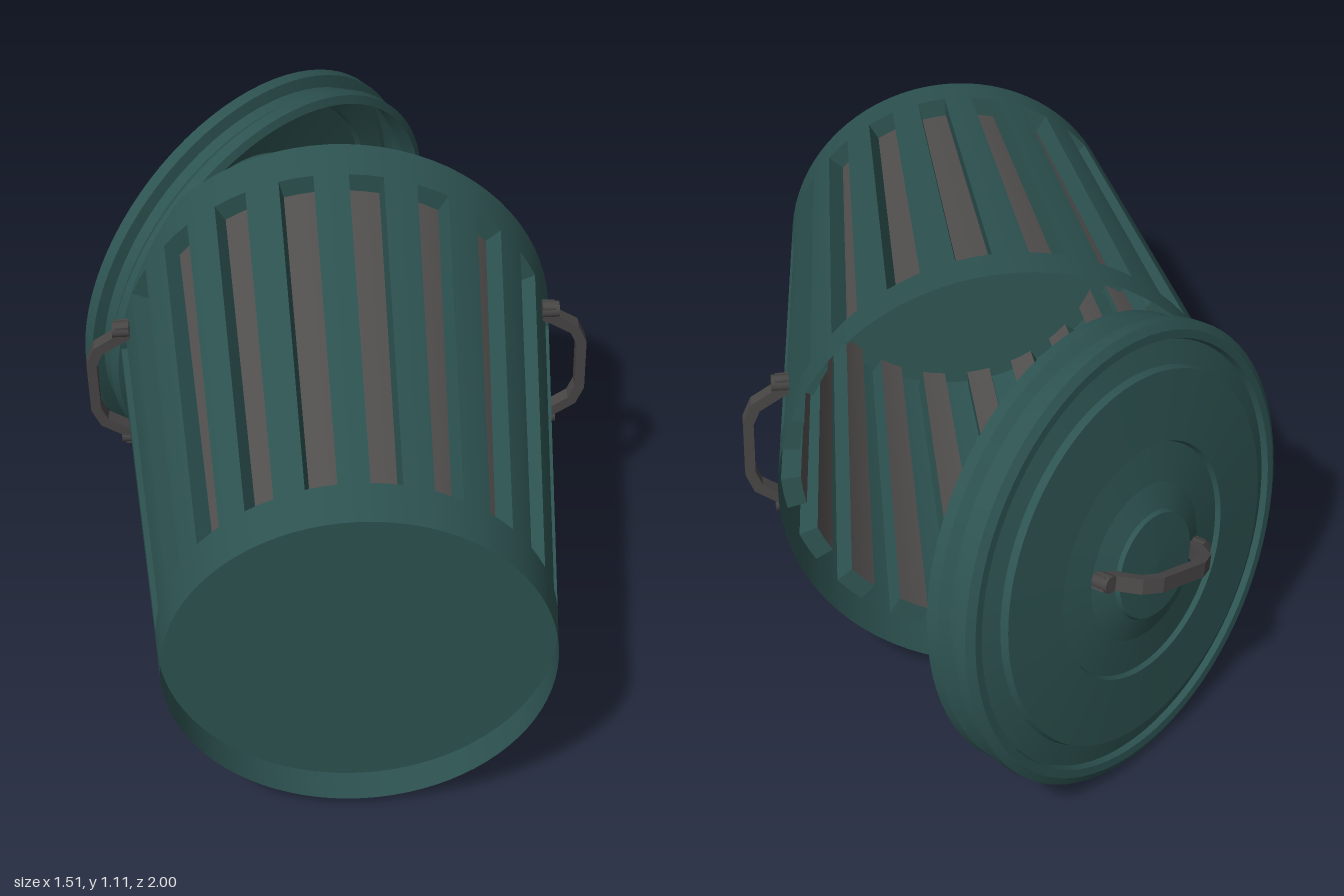
import * as THREE from 'three';
import { mergeGeometries } from 'three/addons/utils/BufferGeometryUtils.js';

const V = (x, y, z) => new THREE.Vector3(x, y, z);
const paint = (color) => new THREE.MeshStandardMaterial({ color, side: THREE.DoubleSide });
const green = paint(0x2d5351);
const panelGrey = paint(0x52504f);
const handleGrey = paint(0x484545);

// Can dimensions, measured along its own axis from base to mouth
const H = 1.224, R0 = 0.443, R1 = 0.556;
const SLOT_LOW = 0.11, SLOT_HIGH = 1.112, DEPTH = 0.048;
const SLOTS = 20, STEP = (Math.PI * 2) / SLOTS, SLOT_ANGLE = STEP * 0.5;
const radiusAt = (y) => R0 + (R1 - R0) * (y / H);

function add(parent, name, geometry, material) {
  const mesh = new THREE.Mesh(geometry, material);
  mesh.name = name;
  parent.add(mesh);
}

// Group whose y axis points along `up` and whose x axis stays level
function tiltedGroup(name, origin, up) {
  const group = new THREE.Group();
  group.name = name;
  const y = up.clone().normalize();
  const x = V(0, 1, 0).cross(y).normalize();
  const z = x.clone().cross(y);
  group.quaternion.setFromRotationMatrix(new THREE.Matrix4().makeBasis(x, y, z));
  group.position.copy(origin);
  return group;
}

// Piece of the tapered wall between two heights, optionally only an arc
function wall(y0, y1, inset = 0, start = 0, angle = Math.PI * 2, segments = 80) {
  return new THREE.CylinderGeometry(radiusAt(y1) - inset, radiusAt(y0) - inset,
    y1 - y0, segments, 1, true, start, angle).translate(0, (y0 + y1) / 2, 0);
}

// Point on the wall, pushed inward by `inset`
function wallPoint(theta, y, inset) {
  const r = radiusAt(y) - inset;
  return V(Math.sin(theta) * r, y, Math.cos(theta) * r);
}

// Flat four-cornered face
function quad(a, b, c, d) {
  const g = new THREE.BufferGeometry().setFromPoints([a, b, c, d]);
  g.setIndex([0, 1, 2, 0, 2, 3]);
  g.computeVertexNormals();
  return g;
}

// Bent strap handle: feet along x, standing out along +y
function makeHandle(name) {
  const group = new THREE.Group();
  group.name = name;
  const w = 0.036;
  const outer = [[0.19, 0], [0.188, 0.032], [0.158, 0.042], [0.125, 0.092], [0.075, 0.113]];
  const inner = [[0.068, 0.088], [0.106, 0.072], [0.14, 0.02], [0.15, 0]];
  const flip = ([x, y]) => [-x, y];
  const outline = [...outer, ...outer.map(flip).reverse(),
    ...inner.map(flip).reverse(), ...inner];
  const shape = new THREE.Shape(outline.map(([x, y]) => new THREE.Vector2(x, y)));
  add(group, 'handleStrap', new THREE.ExtrudeGeometry(shape,
    { depth: w, bevelEnabled: false }).translate(0, 0, -w / 2), handleGrey);
  for (const s of [-1, 1]) {
    add(group, 'handleBolt', new THREE.CylinderGeometry(0.021, 0.021, 0.042, 12)
      .translate(s * 0.172, 0.021, 0), handleGrey);
  }
  return group;
}

function makeCan() {
  const base = V(0.355, 0.467, 0.8), mouth = V(-0.185, 0.555, -0.295);
  const can = tiltedGroup('can', base, mouth.clone().sub(base));
  can.rotateY(-0.02);

  add(can, 'baseBand', wall(0, SLOT_LOW), green);
  add(can, 'mouthBand', wall(SLOT_HIGH, H), green);
  add(can, 'floor', new THREE.CircleGeometry(radiusAt(0.085), 80)
    .rotateX(Math.PI / 2).translate(0, 0.085, 0), green);

  // Upright bars, with sunken panels between them
  const bars = [], panels = [], sides = [];
  for (let i = 0; i < SLOTS; i++) {
    const a = (i + 0.5) * STEP - SLOT_ANGLE / 2, b = a + SLOT_ANGLE, mid = (a + b) / 2;
    bars.push(wall(SLOT_LOW, SLOT_HIGH, 0, b, STEP - SLOT_ANGLE, 2));
    panels.push(wall(SLOT_LOW, SLOT_HIGH, DEPTH, a, SLOT_ANGLE, 2));
    for (const t of [a, b]) {
      sides.push(quad(wallPoint(t, SLOT_LOW, 0), wallPoint(t, SLOT_LOW, DEPTH),
        wallPoint(t, SLOT_HIGH, DEPTH), wallPoint(t, SLOT_HIGH, 0)));
    }
    for (const y of [SLOT_LOW, SLOT_HIGH]) {
      for (const [t, u] of [[a, mid], [mid, b]]) {
        sides.push(quad(wallPoint(t, y, 0), wallPoint(u, y, 0),
          wallPoint(u, y, DEPTH), wallPoint(t, y, DEPTH)));
      }
    }
  }
  add(can, 'bars', mergeGeometries(bars), green);
  add(can, 'slotPanels', mergeGeometries(panels), panelGrey);
  add(can, 'slotSides', mergeGeometries(sides), green);

  // Side handles, strap running around the can
  for (const s of [-1, 1]) {
    const handle = makeHandle(s > 0 ? 'rightHandle' : 'leftHandle');
    const out = V(s, 0, 0), along = V(0, 0, 1);
    handle.quaternion.setFromRotationMatrix(
      new THREE.Matrix4().makeBasis(along, out, along.clone().cross(out)));
    handle.position.set(s * (radiusAt(1.02) - 0.024), 1.02, 0);
    can.add(handle);
  }
  return can;
}

function makeLid() {
  const lid = tiltedGroup('lid', V(-0.527, 0.561, -0.487), V(-0.915, 0.145, -0.377));

  // Double rim and stepped, shallow dome; each stretch is a separate lathe for crisp edges
  const profile = [[0.525, -0.13], [0.545, -0.12], [0.545, -0.09], [0.525, -0.07], [0.525, -0.04],
    [0.555, -0.03], [0.555, 0], [0.535, 0.012], [0.515, 0.012], [0.51, -0.003], [0.455, 0.012],
    [0.45, 0.03], [0.285, 0.044], [0.28, 0.032], [0.19, 0.046], [0.132, 0.066],
    [0.127, 0.076], [0, 0.08]].map(([r, y]) => new THREE.Vector2(r, y));
  const rings = profile.slice(1).map((p, i) => new THREE.LatheGeometry([profile[i], p], 80));
  add(lid, 'lidShell', mergeGeometries(rings), green);

  const handle = makeHandle('lidHandle');
  handle.position.y = 0.046;
  handle.rotation.y = -0.3;
  lid.add(handle);
  return lid;
}

export function createModel() {
  const model = new THREE.Group();
  model.name = 'trashCan';
  model.add(makeCan(), makeLid());
  return model;
}
